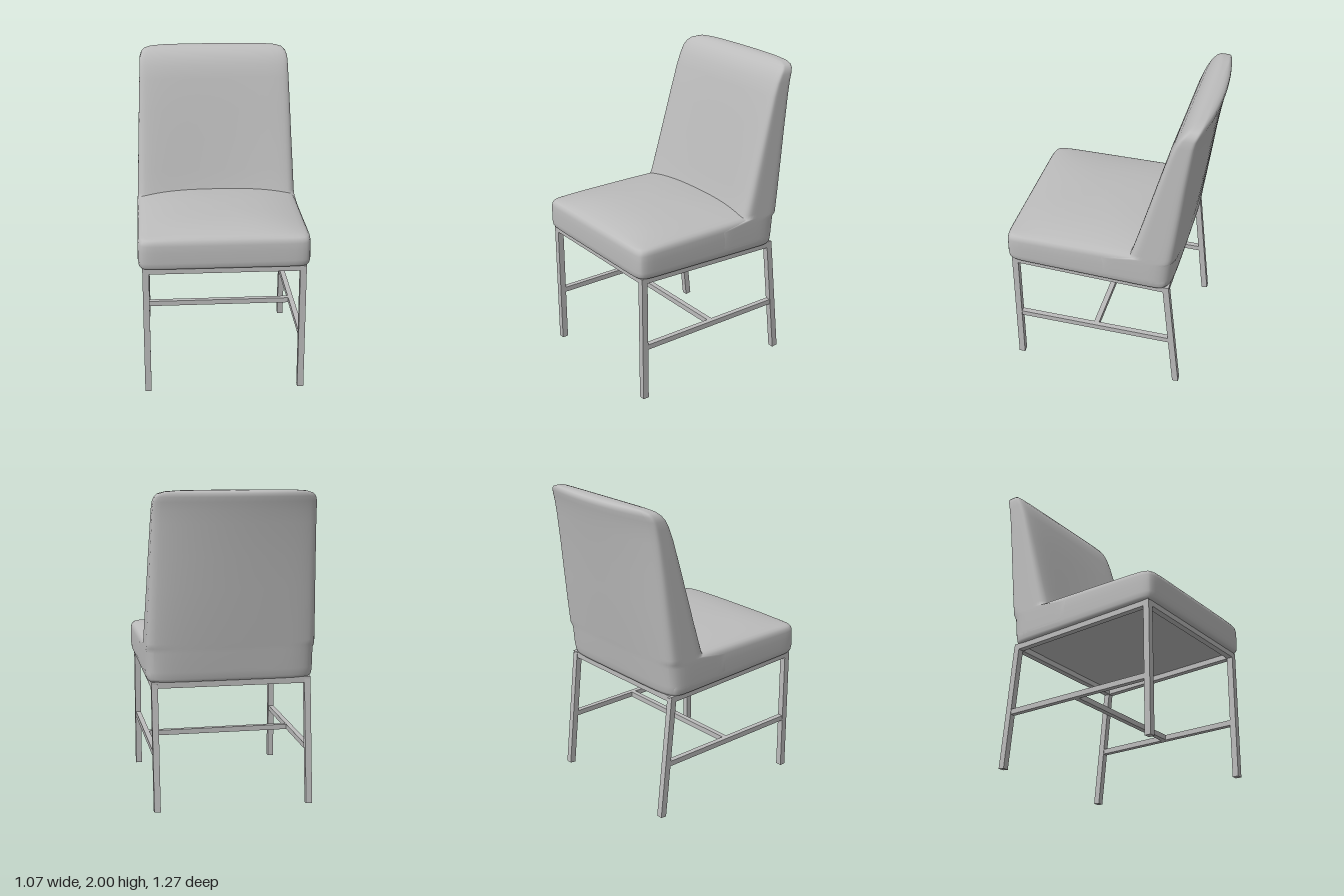
import * as THREE from 'three';

const upholstery = new THREE.MeshStandardMaterial({ color: 0xbcbcbc });
upholstery.name = 'light grey';

// Points of a rounded square in the unit range, running from +x towards +z
function roundedSquare(power, perSide = 20) {
  const points = [];
  for (let side = 0; side < 4; side++) {
    for (let i = 0; i < perSide; i++) {
      const t = Math.sin((i / perSide - 0.5) * Math.PI);
      const r = Math.pow(1 + Math.pow(Math.abs(t), power), -1 / power);
      points.push([[r, r * t], [-r * t, r], [-r, -r * t], [r * t, -r]][side]);
    }
  }
  return points;
}

// Skin a stack of rings, from bottom to top; place(u, v, ring) gives [x, y, z]
function loft(rings, power, place) {
  const section = roundedSquare(power);
  const n = section.length;
  const positions = [];
  const index = [];
  rings.forEach((ring, k) => {
    section.forEach(([u, v], j) => {
      positions.push(...place(u, v, ring));
      if (k === rings.length - 1) return;
      const a = k * n + j;
      const b = k * n + ((j + 1) % n);
      index.push(a, a + n, b, b, a + n, b + n);
    });
  });
  const geometry = new THREE.BufferGeometry();
  geometry.setAttribute('position', new THREE.Float32BufferAttribute(positions, 3));
  geometry.setIndex(index);
  geometry.computeVertexNormals();
  return geometry;
}

// The underside drops slightly towards the rear
const drop = (y, z) => 0.035 * THREE.MathUtils.clamp((1 - y) / 0.15, 0, 1) * (0.635 - z) / 1.085;

function seatGeometry() {
  // [y, scale, crown amount]
  const rings = [
    [0.845, 0, 0], [0.845, 0.5, 0], [0.845, 0.955, 0], [0.849, 0.978, 0], [0.862, 0.993, 0],
    [0.89, 1, 0], [0.96, 1, 0], [1.0, 0.998, 0], [1.02, 0.99, 0], [1.032, 0.972, 0.6],
    [1.036, 0.94, 1], [1.036, 0.88, 1], [1.036, 0.8, 1], [1.036, 0.68, 1],
    [1.036, 0.5, 1], [1.036, 0.25, 1], [1.036, 0, 1],
  ];
  return loft(rings, 18, (u, v, [y, s, crown]) => {
    const x = 0.535 * s * u;
    const z = 0.1 + 0.535 * s * v;
    const a = Math.abs(x) / 0.535;
    const b = z > 0.2 ? (z - 0.2) / 0.435 : (0.2 - z) / 0.65;
    const puff = 0.057 * crown * (1 - a ** 3) * (1 - b ** 3);
    return [x, y - drop(y, z) + puff, z];
  });
}

function backGeometry() {
  // [y, half width, front z, rear z, rear bow, front hollow]
  const rings = [
    [0.845, 0, -0.17, -0.17, 0, 0],
    [0.845, 0.51, 0.05, -0.43, 0, 0],
    [0.85, 0.522, 0.08, -0.445, 0, 0],
    [0.865, 0.532, 0.1, -0.453, 0.002, 0],
    [0.9, 0.536, 0.1, -0.462, 0.004, 0],
    [1.0, 0.536, 0.1, -0.478, 0.008, 0],
    [1.03, 0.535, -0.165, -0.483, 0.01, 0.03],
    [1.06, 0.534, -0.18, -0.488, 0.012, 0.03],
    [1.2, 0.529, -0.222, -0.51, 0.018, 0.025],
    [1.4, 0.521, -0.28, -0.54, 0.027, 0.018],
    [1.6, 0.514, -0.338, -0.568, 0.036, 0.01],
    [1.8, 0.506, -0.397, -0.6, 0.046, 0.003],
    [1.88, 0.503, -0.428, -0.615, 0.05, 0],
    [1.93, 0.5, -0.455, -0.625, 0.05, 0],
    [1.96, 0.49, -0.48, -0.633, 0.05, 0],
    [1.98, 0.47, -0.502, -0.633, 0.05, 0],
    [1.992, 0.43, -0.525, -0.624, 0.045, 0],
    [1.998, 0.35, -0.545, -0.608, 0.03, 0],
    [2.0, 0.2, -0.56, -0.592, 0.01, 0],
    [2.0, 0, -0.575, -0.575, 0, 0],
  ];
  return loft(rings, 8, (u, v, [y, w, front, rear, bow, hollow]) => {
    const x = w * u;
    const q = (x / 0.5) ** 2;
    const zFront = front - hollow * Math.max(0, 1 - q);
    const zRear = rear + bow * q;
    const z = THREE.MathUtils.lerp(zRear, zFront, (v + 1) / 2);
    return [x, y - drop(y, z), z];
  });
}

// Square bar between two points
function bar(name, from, to, width = 0.04, depth = width) {
  const a = new THREE.Vector3(...from);
  const b = new THREE.Vector3(...to);
  const mesh = new THREE.Mesh(new THREE.BoxGeometry(width, depth, a.distanceTo(b)), upholstery);
  mesh.name = name;
  mesh.position.copy(a).add(b).multiplyScalar(0.5);
  mesh.lookAt(b);
  return mesh;
}

export function createModel() {
  const chair = new THREE.Group();
  chair.name = 'diningChair';

  const seat = new THREE.Mesh(seatGeometry(), upholstery);
  seat.name = 'seatCushion';
  const back = new THREE.Mesh(backGeometry(), upholstery);
  back.name = 'backrest';
  chair.add(seat, back);

  // Legs, seat rails and side stretchers, mirrored
  const frame = new THREE.Group();
  frame.name = 'legFrame';
  for (const [side, s] of [['left', 1], ['right', -1]]) {
    const x = 0.488 * s;
    frame.add(
      bar(side + 'FrontLeg', [x, 0, 0.584], [x, 0.84, 0.584]),
      bar(side + 'RearLeg', [x, 0.003, -0.504], [x, 0.8, -0.418]),
      bar(side + 'SeatRail', [x, 0.829, 0.6], [x, 0.796, -0.436]),
      bar(side + 'Stretcher', [x, 0.362, 0.575], [x, 0.362, -0.46], 0.034),
    );
  }

  // Bars running across
  frame.add(
    bar('frontRail', [-0.488, 0.829, 0.584], [0.488, 0.829, 0.584]),
    bar('rearRail', [-0.488, 0.796, -0.416], [0.488, 0.796, -0.416]),
    bar('crossStretcher', [-0.488, 0.362, 0.05], [0.488, 0.362, 0.05], 0.034),
  );
  chair.add(frame);
  return chair;
}
